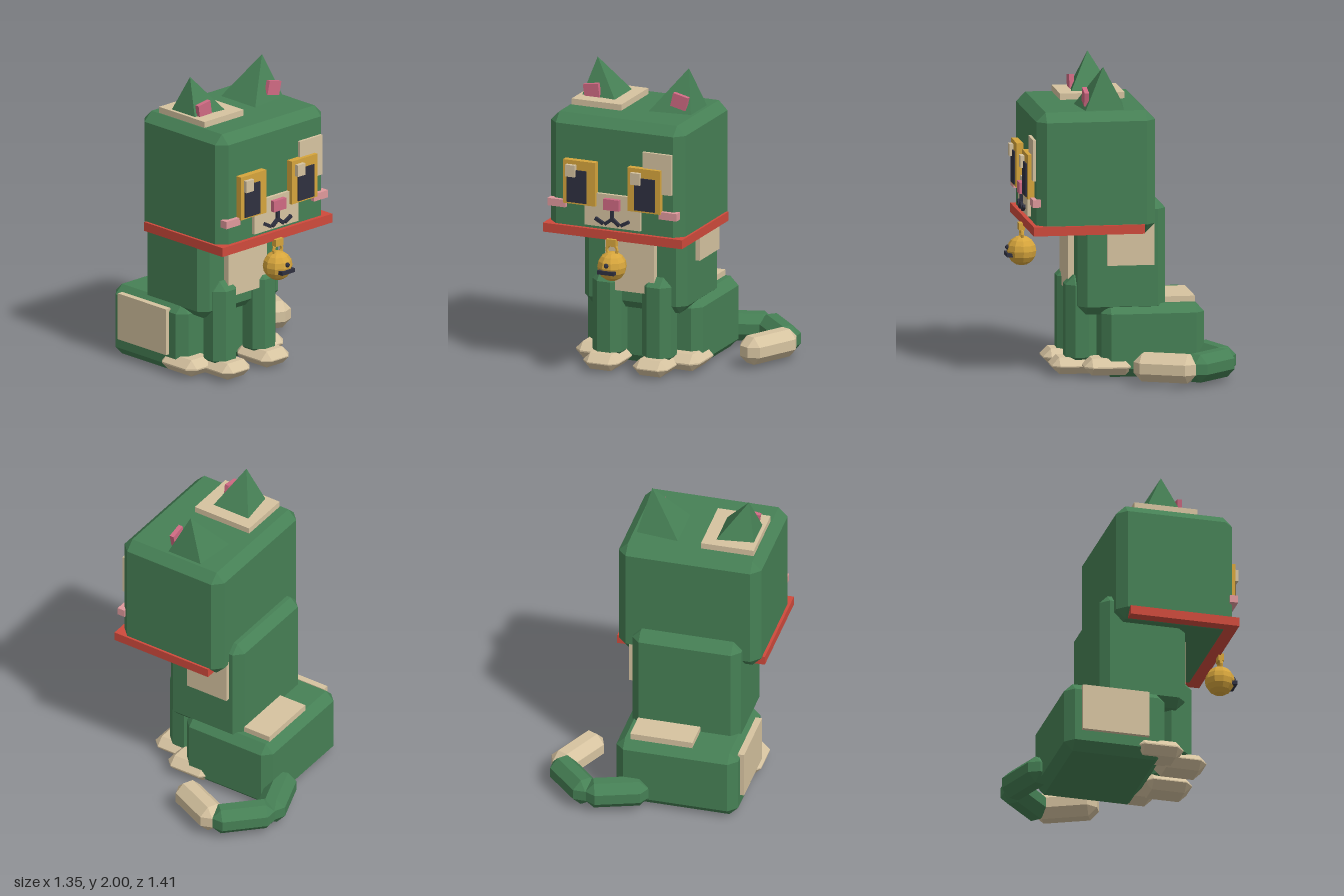
import * as THREE from 'three';
import { ConvexGeometry } from 'three/addons/geometries/ConvexGeometry.js';

const mat = (name, color) => {
  const m = new THREE.MeshStandardMaterial({ color, flatShading: true });
  m.name = name;
  return m;
};

export function createModel() {
  const green = mat('green fur', 0x468055);
  const cream = mat('cream', 0xd6c3a0);
  const gold = mat('gold', 0xd6a53c);
  const red = mat('red', 0xcf4a3c);
  const pink = mat('pink', 0xcf6a83);
  const blush = mat('blush', 0xe0999c);
  const dark = mat('dark', 0x2f3040);

  const model = new THREE.Group();
  model.name = 'cat';
  const CX = -0.19; // symmetry plane of the body

  const add = (name, geometry, material) => {
    const mesh = new THREE.Mesh(geometry, material);
    mesh.name = name;
    model.add(mesh);
    return mesh;
  };

  // Box given by its limits
  const box = (name, material, [x0, x1], [y0, y1], [z0, z1]) => {
    const mesh = add(name, new THREE.BoxGeometry(x1 - x0, y1 - y0, z1 - z0), material);
    mesh.position.set((x0 + x1) / 2, (y0 + y1) / 2, (z0 + z1) / 2);
    return mesh;
  };

  // Box with all edges chamfered by c
  const bevelGeometry = (w, h, d, c) => {
    const points = [];
    for (const sx of [-1, 1]) for (const sy of [-1, 1]) for (const sz of [-1, 1]) {
      const x = w / 2, y = h / 2, z = d / 2;
      points.push(
        new THREE.Vector3(sx * x, sy * (y - c), sz * (z - c)),
        new THREE.Vector3(sx * (x - c), sy * y, sz * (z - c)),
        new THREE.Vector3(sx * (x - c), sy * (y - c), sz * z));
    }
    return new ConvexGeometry(points);
  };
  const bevel = (name, material, [x0, x1], [y0, y1], [z0, z1], c) => {
    const mesh = add(name, bevelGeometry(x1 - x0, y1 - y0, z1 - z0, c), material);
    mesh.position.set((x0 + x1) / 2, (y0 + y1) / 2, (z0 + z1) / 2);
    return mesh;
  };

  // Body masses
  bevel('head', green, [-0.66, 0.28], [0.94, 1.73], [-0.195, 0.57], 0.06);
  bevel('torso', green, [-0.55, 0.168], [0.4, 1.135], [-0.278, 0.287], 0.055);
  bevel('haunches', green, [-0.595, 0.207], [0, 0.468], [-0.523, 0.14], 0.057);

  // Fur patches
  box('chestPatch', cream, [-0.365, -0.022], [0.53, 0.98], [0.27, 0.327]);
  box('sidePatch', cream, [0.15, 0.197], [0.725, 1.02], [-0.195, 0.107]);
  box('haunchPatch', cream, [-0.622, -0.58], [0.127, 0.435], [-0.42, 0.02]);
  box('rumpPatch', cream, [-0.295, 0.115], [0.45, 0.505], [-0.47, -0.26]);
  box('crownPatch', cream, [-0.592, -0.245], [1.72, 1.77], [-0.073, 0.343]);
  box('browPatch', cream, [0.015, 0.215], [1.285, 1.552], [0.56, 0.589]);
  box('muzzle', cream, [-0.39, 0], [1.025, 1.243], [0.56, 0.592]);

  // Collar
  box('collar', red, [-0.678, 0.295], [0.944, 1.003], [-0.12, 0.597]);

  // Legs and paws
  for (const s of [-1, 1]) {
    const fx = CX - 0.003 + s * 0.173;
    bevel('frontLeg', green, [fx - 0.102, fx + 0.102], [0.06, 0.64], [0.15, 0.352], 0.057);
    bevel('frontPaw', cream, [fx - 0.122, fx + 0.122], [0.01, 0.117], [0.13, 0.445], 0.05);
    const bx = CX - 0.003 + s * 0.31;
    bevel('backPaw', cream, [bx - 0.122, bx + 0.122], [0.018, 0.127], [-0.06, 0.255], 0.05);
  }

  // Tail: three chamfered bars curling to the side, [x, z] ends
  const tail = [
    ['tailBase', green, [-0.01, -0.504], [0.37, -0.638]],
    ['tailMiddle', green, [0.333, -0.65], [0.62, -0.362]],
    ['tailTip', cream, [0.615, -0.405], [0.442, -0.03]],
  ];
  for (const [name, material, a, b] of tail) {
    const dx = b[0] - a[0], dz = b[1] - a[1];
    const mesh = add(name, bevelGeometry(0.182, 0.18, Math.hypot(dx, dz), 0.056), material);
    mesh.position.set((a[0] + b[0]) / 2, 0.115, (a[1] + b[1]) / 2);
    mesh.rotation.y = Math.atan2(dx, dz);
  }

  // Ears: leaning pyramids with pink inner plates
  for (const s of [-1, 1]) {
    const ear = [[0.105, -0.035, 1.725], [0.39, 0, 1.725], [0.39, 0.25, 1.725], [0.105, 0.283, 1.725],
      [0.319, 0.125, 2]].map(([x, z, y]) => new THREE.Vector3(CX + s * x, y, z));
    add('ear', new ConvexGeometry(ear), green);
    const inner = box('innerEar', pink, [-0.053, 0.053], [-0.045, 0.045], [0.222, 0.252]);
    inner.position.x = CX + s * 0.307;
    inner.position.y = 1.807;
    inner.rotation.z = s > 0 ? -0.23 : 0.15;
  }

  // Eyes: gold plate, dark pupil, cream glint
  const eyes = [
    [[-0.53, -0.305], [-0.5, -0.365], [-0.505, -0.437]],
    [[-0.08, 0.148], [-0.028, 0.113], [-0.05, 0.017]],
  ];
  for (const [iris, pupil, glint] of eyes) {
    box('iris', gold, iris, [1.158, 1.447], [0.56, 0.613]);
    box('pupil', dark, pupil, [1.17, 1.385], [0.6, 0.622]);
    box('eyeGlint', cream, glint, [1.342, 1.42], [0.6, 0.638]);
  }

  // Nose, cheeks and mouth
  box('nose', pink, [-0.245, -0.137], [1.147, 1.22], [0.57, 0.622]);
  box('cheek', blush, [-0.645, -0.52], [1.123, 1.172], [0.545, 0.598]);
  box('cheek', blush, [0.133, 0.257], [1.123, 1.172], [0.545, 0.598]);
  box('mouthStem', dark, [-0.202, -0.182], [1.08, 1.15], [0.58, 0.61]);
  for (const s of [-1, 1]) {
    for (const [x, y, angle] of [[0.025, 1.067, -0.65], [0.09, 1.065, 0.5]]) {
      const stroke = box('mouthStroke', dark, [-0.032, 0.032], [-0.011, 0.011], [0.58, 0.61]);
      stroke.position.x = CX - 0.002 + s * x;
      stroke.position.y = y;
      stroke.rotation.z = s * angle;
    }
  }

  // Bell hanging from the collar
  const bx = -0.193;
  add('bell', new THREE.SphereGeometry(0.096, 10, 8), gold).position.set(bx, 0.775, 0.6);
  add('bellRing', new THREE.TorusGeometry(0.036, 0.011, 6, 12), gold).position.set(bx, 0.882, 0.6);
  box('bellClasp', gold, [bx - 0.034, bx + 0.034], [0.908, 0.955], [0.583, 0.62]);
  box('bellSlot', dark, [bx - 0.057, bx + 0.057], [0.74, 0.765], [0.66, 0.702]);
  add('bellHole', new THREE.SphereGeometry(0.016, 8, 6), dark).position.set(bx, 0.798, 0.69);

  return model;
}
